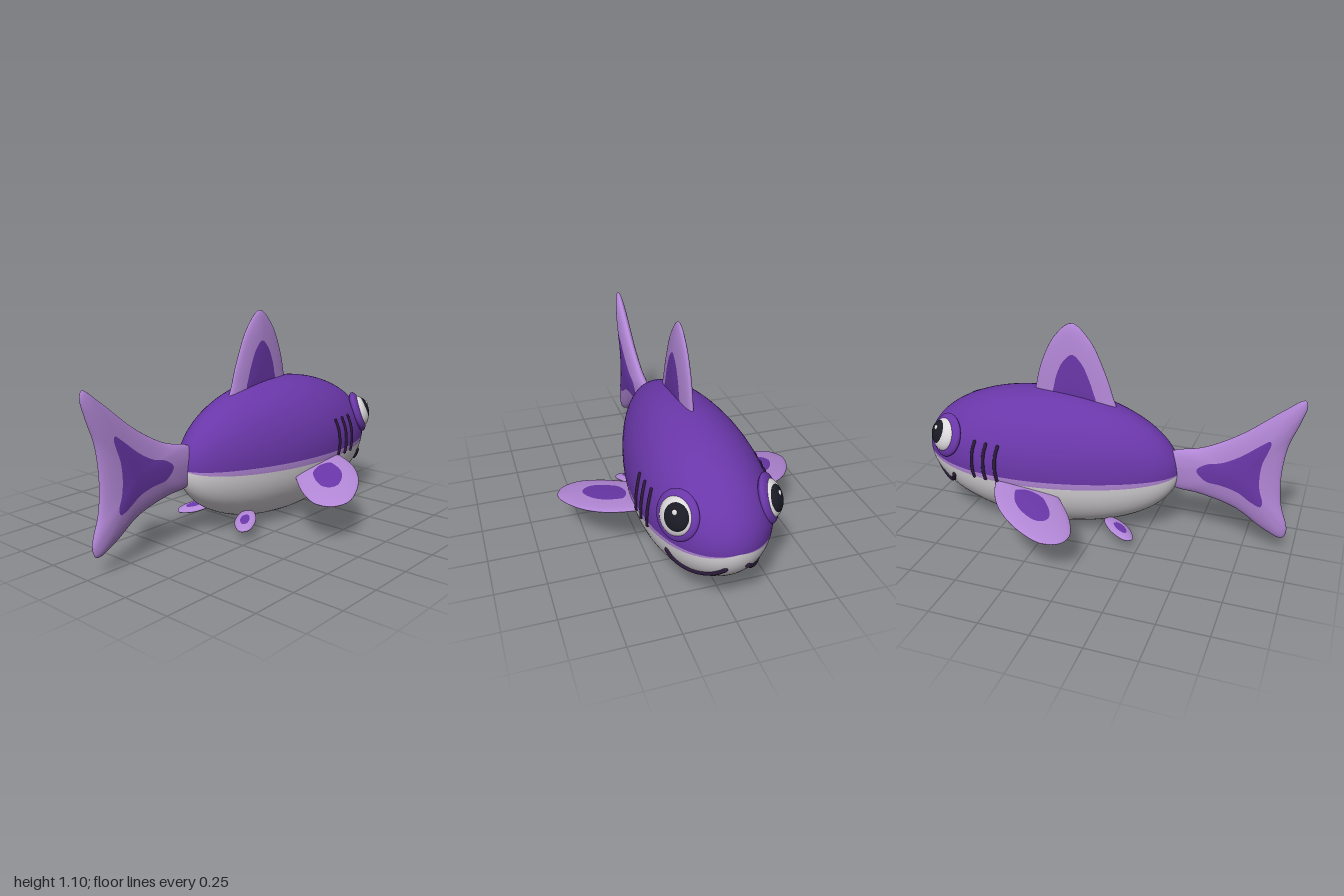
import * as THREE from 'three';
import { mergeVertices } from 'three/addons/utils/BufferGeometryUtils.js';

const mat = (name, color) => Object.assign(new THREE.MeshStandardMaterial({ color }), { name });
const V = (x, y, z) => new THREE.Vector3(x, y, z);

// Closed smooth surface from a rule; slots[row] picks the material of each row
function skin(rows, cols, rule, slots) {
  const pos = [], idx = [], p = V();
  for (let i = 0; i <= rows; i++)
    for (let j = 0; j <= cols; j++) {
      rule(i, j / cols, p);
      pos.push(p.x, p.y, p.z);
    }
  const at = k => V().fromArray(pos, k * 3);
  let volume = 0;
  for (let i = 0; i < rows; i++)
    for (let j = 0; j < cols; j++) {
      const a = i * (cols + 1) + j, b = a + cols + 1;
      idx.push(a, b, a + 1, b, b + 1, a + 1);
      volume += at(a).dot(at(b).cross(at(a + 1))) + at(b).dot(at(b + 1).cross(at(a + 1)));
    }
  // Turn the faces outward
  if (volume < 0)
    for (let k = 0; k < idx.length; k += 3) [idx[k], idx[k + 1]] = [idx[k + 1], idx[k]];
  let geo = new THREE.BufferGeometry();
  geo.setAttribute('position', new THREE.Float32BufferAttribute(pos, 3));
  geo.setIndex(idx);
  geo = mergeVertices(geo, 1e-5);
  geo.clearGroups();
  for (let i = 0; i < rows; i++) geo.addGroup(i * cols * 6, cols * 6, slots(i));
  geo.computeVertexNormals();
  return geo;
}

// Egg-shaped body: half width of the body at a given x and y
const BX = 0.295, BY = 0.37, RX = 0.7, RY = 0.367, RZ = 0.3, EGG = 0.23;
function bodyZ(x, y) {
  const t = (x - BX) / RX, h = (y - BY) / RY;
  return RZ * (1 + EGG * t) * Math.sqrt(Math.max(0, 1 - t * t - h * h));
}

export function createModel() {
  const purple = mat('purple', 0x6a37a9);
  const lavender = mat('lavender', 0xb287d6);
  const white = mat('offWhite', 0xdcd8dc);
  const black = mat('pupilBlack', 0x1b1b26);
  const dark = mat('darkPlum', 0x2b1a3a);
  const model = new THREE.Group();

  const add = (name, geo, material, parent = model) => {
    const mesh = new THREE.Mesh(geo, material);
    mesh.name = name;
    parent.add(mesh);
    return mesh;
  };

  // Body: purple back, lavender side stripes, pale belly
  const bands = [36, 3, 24, 3];
  const bandOf = i => {
    let b = 0;
    while (b < 3 && i >= bands[b]) i -= bands[b++];
    return [b, i / bands[b]];
  };
  add('body', skin(66, 72, (i, v, p) => {
    const th = v * Math.PI, t = Math.cos(th), s = Math.sin(th);
    const a = 0.05 + 0.04 * (t + 1) / 2, b = 0.16;
    const edges = [-a, Math.PI + a, Math.PI + b, 2 * Math.PI - b, 2 * Math.PI - a];
    const [k, f] = bandOf(i);
    const phi = edges[k] + (edges[k + 1] - edges[k]) * f;
    p.set(BX + RX * t, BY + RY * s * Math.sin(phi), RZ * (1 + EGG * t) * s * Math.cos(phi));
  }, i => [0, 1, 2, 1][bandOf(i)[0]]), [purple, lavender, white]);

  // Fins: pillow-shaped, with a purple patch in the middle of both faces
  function fin(name, outline, [ca, cb], thick, inner, place) {
    const curve = new THREE.CatmullRomCurve3(outline.map(([a, b]) => V(a, b, 0)), true);
    const edge = Math.acos(inner), rim = 16, core = 8;
    add(name, skin(rim + 2 * core, 72, (i, v, p) => {
      let al;
      if (i < core) al = -Math.PI / 2 + (Math.PI / 2 - edge) * i / core;
      else if (i <= core + rim) al = -edge + 2 * edge * (i - core) / rim;
      else al = edge + (Math.PI / 2 - edge) * (i - core - rim) / core;
      const o = curve.getPoint(v % 1), s = Math.cos(al);
      place(ca + (o.x - ca) * s, cb + (o.y - cb) * s, thick * Math.sin(al), p);
    }, i => (i < core || i >= core + rim ? 1 : 0)), [lavender, purple]);
  }
  const upright = (a, b, h, p) => p.set(a, b, h);

  fin('tailFin', [[-0.985, 0.848], [-0.9, 0.79], [-0.7, 0.63], [-0.52, 0.53], [-0.36, 0.485],
    [-0.26, 0.4], [-0.36, 0.29], [-0.52, 0.268], [-0.7, 0.22], [-0.85, 0.125], [-0.945, 0.09],
    [-0.965, 0.14], [-0.925, 0.28], [-0.912, 0.43], [-0.93, 0.6], [-0.975, 0.73], [-0.998, 0.82]],
  [-0.72, 0.43], 0.043, 0.48, upright);

  fin('dorsalFin', [[-0.07, 0.62], [-0.045, 0.74], [0, 0.87], [0.075, 1.02], [0.17, 1.1],
    [0.26, 1.03], [0.33, 0.9], [0.37, 0.76], [0.38, 0.64], [0.16, 0.56]],
  [0.15, 0.79], 0.032, 0.5, upright);

  for (const s of [1, -1]) {
    const side = s > 0 ? 'Right' : 'Left';

    fin('pectoralFin' + side, [[0.49, 0.26], [0.475, 0.33], [0.42, 0.44], [0.33, 0.53], [0.2, 0.598],
      [0.1, 0.615], [0.025, 0.575], [0.002, 0.5], [0.035, 0.41], [0.1, 0.32], [0.2, 0.23], [0.38, 0.2]],
    [0.245, 0.4], 0.022, 0.46,
    (a, b, h, p) => p.set(a - 0.18 * h, 0.25 + 0.187 * a - 0.09 * b + h, s * (b + 0.09 * h)));

    fin('pelvicFin' + side, [[-0.05, 0.14], [-0.09, 0.2], [-0.15, 0.235], [-0.2, 0.242],
      [-0.225, 0.215], [-0.21, 0.17], [-0.16, 0.12], [-0.08, 0.1]],
    [-0.15, 0.18], 0.016, 0.45,
    (a, b, h, p) => p.set(a - 0.24 * h, 0.113 + 0.25 * a + h, s * b));

    // Eye: purple lid, white ball, pupil and glint as flattened spheres
    const eye = new THREE.Group();
    eye.name = 'eye' + side;
    eye.position.set(0.8, 0.488, s * (bodyZ(0.8, 0.488) - 0.004));
    eye.lookAt(eye.position.clone().add(V(0.48, 0.33, s * 0.81)));
    model.add(eye);
    const blob = (name, r, depth, x, y, z, m) => {
      const ball = add(name, new THREE.SphereGeometry(1, 36, 24), m, eye);
      ball.scale.set(r, r, depth);
      ball.position.set(s * x, y, z);
    };
    blob('eyelid', 0.115, 0.035, 0, 0, 0, purple);
    blob('eyeball', 0.09, 0.052, 0.004, 0, 0.008, white);
    blob('pupil', 0.068, 0.036, 0.016, 0.004, 0.03, black);
    blob('glint', 0.013, 0.008, 0.024, 0.03, 0.061, white);

    // Lines that hug the body, with rounded ends
    const line = (name, pts, r) => {
      const path = new THREE.CatmullRomCurve3(pts.map(([x, y]) => V(x, y, s * bodyZ(x, y))));
      add(name, new THREE.TubeGeometry(path, 32, r, 10), dark);
      for (const u of [0, 1])
        add(name + 'End', new THREE.SphereGeometry(r, 10, 8), dark).position.copy(path.getPoint(u));
    };
    [0.472, 0.54, 0.608].forEach((x, i) => line('gill' + side + (i + 1),
      [[x, 0.505], [x + 0.01, 0.46], [x + 0.013, 0.41], [x + 0.011, 0.36], [x + 0.004, 0.318]], 0.009));
    line('mouth' + side, [[0.757, 0.278], [0.775, 0.24], [0.81, 0.214], [0.85, 0.21],
      [0.9, 0.227], [0.94, 0.253], [0.968, 0.283]], 0.012);
  }
  return model;
}
